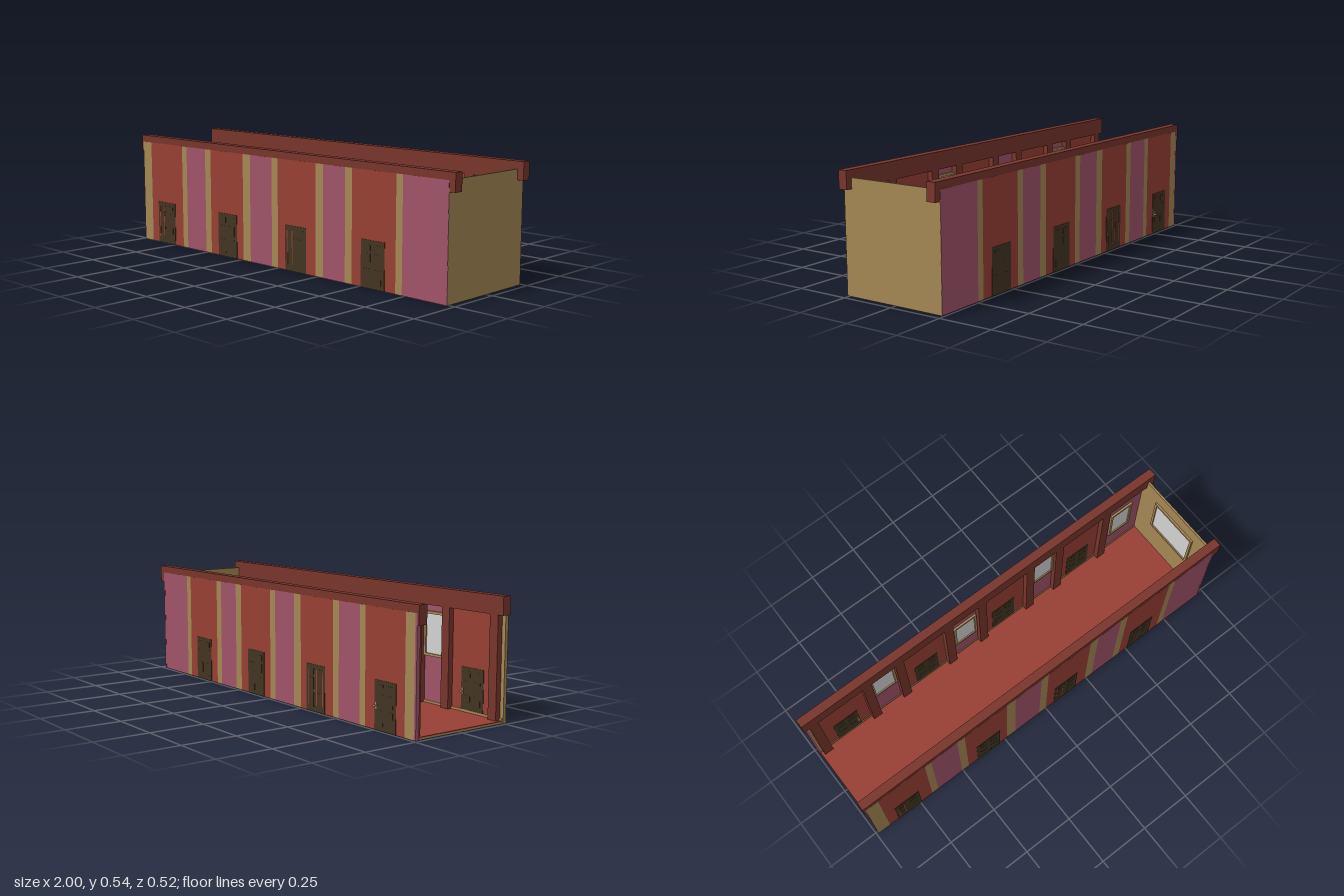
import * as THREE from 'three';

const mat = (name, color) => Object.assign(new THREE.MeshStandardMaterial({ color }), { name });

export function createModel() {
  const red = mat('brick red', 0x983f34);
  const pink = mat('dusty pink', 0xa05269);
  const tan = mat('tan plaster', 0xa48653);
  const maroon = mat('maroon timber', 0x78352c);
  const dark = mat('dark door wood', 0x423521);
  const glass = mat('pale glass', 0xd2d2d2);

  const model = new THREE.Group();
  model.name = 'corridor';

  // box given by its min/max limits on each axis
  function box(parent, name, m, x0, x1, y0, y1, z0, z1) {
    const mesh = new THREE.Mesh(new THREE.BoxGeometry(x1 - x0, y1 - y0, z1 - z0), m);
    mesh.position.set((x0 + x1) / 2, (y0 + y1) / 2, (z0 + z1) / 2);
    mesh.name = name;
    parent.add(mesh);
    return mesh;
  }

  // framed window facing +z, centred on its own x and with its top at y = 0
  function makeWindow(w, h) {
    const g = new THREE.Group();
    g.name = 'window';
    const f = 0.012;
    box(g, 'windowPane', glass, -w / 2 + f, w / 2 - f, -h + f, -f, 0, 0.004);
    for (const s of [-1, 1]) {
      const x = s * (w / 2 - f / 2);
      box(g, 'windowJamb', tan, x - f / 2, x + f / 2, -h, 0, 0, 0.01);
    }
    box(g, 'windowHead', tan, -w / 2 + f, w / 2 - f, -f, 0, 0, 0.01);
    box(g, 'windowSill', tan, -w / 2 + f, w / 2 - f, -h, -h + f, 0, 0.01);
    return g;
  }

  // round knob on a small plate, pointing along dir
  function addKnob(parent, x, z, dir) {
    const g = new THREE.Group();
    g.name = 'doorKnob';
    box(g, 'knobPlate', tan, -0.005, 0.005, -0.012, 0.014, 0, 0.002);
    const stem = new THREE.Mesh(new THREE.CylinderGeometry(0.0025, 0.0025, 0.01, 8), tan);
    stem.rotation.x = Math.PI / 2;
    stem.position.z = 0.005;
    stem.name = 'knobStem';
    const ball = new THREE.Mesh(new THREE.SphereGeometry(0.006, 12, 8), tan);
    ball.position.z = 0.011;
    ball.name = 'knobBall';
    g.add(stem, ball);
    g.position.set(x, 0.101, z);
    if (dir < 0) g.rotation.y = Math.PI;
    parent.add(g);
  }

  // floor and closed end
  box(model, 'base', tan, -0.985, 0.96, 0, 0.008, -0.235, 0.255);
  box(model, 'floor', red, -0.985, 0.96, 0.008, 0.012, -0.225, 0.245);
  box(model, 'endWall', tan, 0.96, 0.97, 0, 0.502, -0.24, 0.26);
  const endWindow = makeWindow(0.26, 0.22);
  endWindow.position.set(0.96, 0.425, 0.01);
  endWindow.rotation.y = -Math.PI / 2;
  model.add(endWindow);

  // wall stripes: right edge and colour of each, going from -x to +x
  const stripes = [
    [-0.925, tan], [-0.68, red], [-0.645, pink], [-0.505, tan], [-0.465, red],
  ];
  stripes.length = 0;
  const edges = [-0.99, -0.925, -0.68, -0.645, -0.505, -0.465, -0.235, -0.185, -0.04,
    0, 0.24, 0.285, 0.415, 0.455, 0.7, 0.735, 0.96];
  const cycle = [tan, red, tan, pink];
  const columns = [-0.948, -0.662, -0.485, -0.21, -0.02, 0.262, 0.435, 0.717];
  const doors = [-0.808, -0.345, 0.115, 0.575];
  const windows = [[-0.575, 0.425], [-0.112, 0.345], [0.35, 0.425], [0.835, 0.345]];

  for (const side of [1, -1]) {
    const wall = new THREE.Group();
    wall.name = side > 0 ? 'frontWall' : 'backWall';
    const out = side > 0 ? 0.26 : -0.24; // outer face
    // box whose depth runs from a to b inward of the outer face
    const part = (name, m, x0, x1, y0, y1, a, b) => {
      const za = out - side * a, zb = out - side * b;
      return box(wall, name, m, x0, x1, y0, y1, Math.min(za, zb), Math.max(za, zb));
    };

    for (let i = 0; i < edges.length - 1; i++) {
      part('wallStripe', cycle[i % 4], edges[i], edges[i + 1], 0, 0.502, 0, 0.016);
    }
    // pink skin on the last bit beside the closed end and on the back wall's open end
    part('wallEndSkin', pink, 0.96, 0.9695, 0, 0.5025, -0.0006, 0.004);
    if (side < 0) part('wallOpenEnd', pink, -0.991, -0.98, 0, 0.5025, -0.0006, 0.0165);

    // top rail, columns and skirting
    part('topRail', maroon, -1, 1, 0.455, 0.535, 0.0003, 0.042);
    for (const x of columns) part('column', maroon, x - 0.023, x + 0.023, 0.012, 0.455, 0.016, 0.041);
    part('skirting', tan, -0.985, 0.96, 0.008, 0.022, 0.016, 0.02);

    // doors show on both faces of the wall
    doors.forEach((x, i) => {
      part('door', dark, x - 0.066, x + 0.066, 0, 0.208, -0.0018, 0.018);
      for (const px of [-0.03, 0.03]) {
        for (const [y0, y1] of [[0.02, 0.085], [0.1, 0.15], [0.163, 0.19]]) {
          part('doorPanel', dark, x + px - 0.018, x + px + 0.018, y0, y1, -0.0026, 0.0188);
        }
      }
      // narrow slits showing the wall colour
      const slits = side > 0 ? [[-0.052, -0.02], null, [-0.052, -0.02], null][i]
        : [null, [-0.052, -0.008, 0.008, 0.052], null, null][i];
      for (const s of slits || []) {
        part('doorSlit', red, x + s - 0.0025, x + s + 0.0025, 0.03, 0.185, -0.0028, 0);
      }
    });

    // knobs on the first door
    addKnob(wall, -0.752, out - side * 0.018, -side);
    if (side < 0) addKnob(wall, -0.752, out + side * 0.002, side);

    // windows on the inner face, at alternating heights
    for (const [x, top] of windows) {
      const w = makeWindow(0.13, 0.2);
      w.position.set(x, top, out - side * 0.016);
      if (side > 0) w.rotation.y = Math.PI;
      wall.add(w);
    }
    model.add(wall);
  }
  return model;
}
